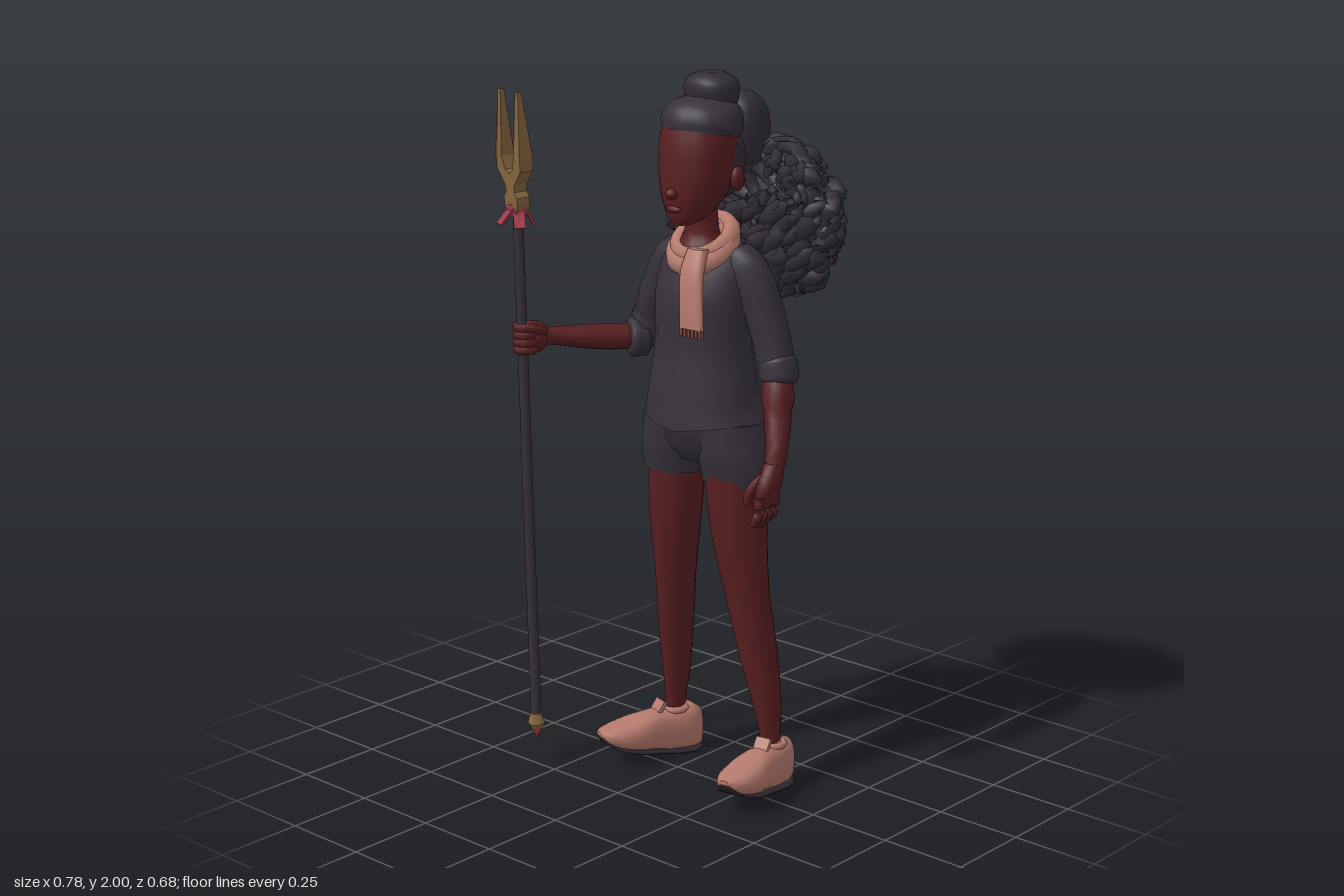
import * as THREE from 'three';
import { mergeGeometries } from 'three/addons/utils/BufferGeometryUtils.js';

const mat = (name, color) => Object.assign(new THREE.MeshStandardMaterial({ color }), { name });
const M = {
  skin: mat('skin', 0x571e20), cloth: mat('charcoal cloth', 0x37303b), hair: mat('hair', 0x312b35),
  pink: mat('dusty pink', 0xb57a6d), fringe: mat('fringe', 0x80483f), gold: mat('old gold', 0x866640),
  red: mat('ribbon red', 0xa13a4a), shaft: mat('dark shaft', 0x383039), sole: mat('sole', 0x2b262d),
};
const UP = new THREE.Vector3(0, 1, 0);
const V = (x, y, z) => new THREE.Vector3(x, y, z);

// Smooth skin over elliptical sections [x, y, z, a, b].
// mode: 'flat' = horizontal rings (listed upward), 'z' = rings facing +z, 'path' = rings across the path.
function loft(secs, { mode = 'flat', n = 14, sub = 3, pow = 1 } = {}) {
  const pts = new THREE.CatmullRomCurve3(secs.map(s => V(s[0], s[1], s[2])));
  const rad = new THREE.CatmullRomCurve3(secs.map(s => V(s[3], s[4] ?? s[3], 0)));
  const N = (secs.length - 1) * sub, pos = [], idx = [], q = new THREE.Quaternion();
  if (mode === 'z') q.setFromUnitVectors(UP, V(0, 0, 1));
  const sp = v => Math.sign(v) * Math.abs(v) ** pow;
  const rings = [];
  for (let i = 0; i <= N; i++) {
    const c = pts.getPoint(i / N), r = rad.getPoint(i / N);
    if (mode === 'path') q.setFromUnitVectors(UP, pts.getTangent(i / N));
    const ring = [];
    for (let j = 0; j < n; j++) {
      const t = j / n * Math.PI * 2;
      ring.push(V(sp(Math.cos(t)) * r.x, 0, sp(Math.sin(t)) * r.y).applyQuaternion(q).add(c));
    }
    rings.push(ring);
    ring.forEach(p => pos.push(p.x, p.y, p.z));
  }
  for (let i = 0; i < N; i++) for (let j = 0; j < n; j++) {
    const k = (j + 1) % n, a = i * n + j, d = i * n + k;
    idx.push(a, a + n, d + n, a, d + n, d);
  }
  // End caps with their own vertices keep the rims crisp
  [0, N].forEach(e => {
    const base = pos.length / 3, c = pts.getPoint(e / N);
    pos.push(c.x, c.y, c.z);
    rings[e].forEach(p => pos.push(p.x, p.y, p.z));
    for (let j = 0; j < n; j++) {
      const a = base + 1 + j, b = base + 1 + (j + 1) % n;
      e ? idx.push(base, b, a) : idx.push(base, a, b);
    }
  });
  const g = new THREE.BufferGeometry();
  g.setAttribute('position', new THREE.Float32BufferAttribute(pos, 3));
  g.setIndex(idx);
  g.computeVertexNormals();
  return g;
}

export function createModel() {
  const root = new THREE.Group();
  const add = (name, geo, m, parent = root) => {
    const mesh = new THREE.Mesh(geo, m);
    mesh.name = name;
    parent.add(mesh);
    return mesh;
  };
  const ball = (name, m, x, y, z, a, b, c) =>
    add(name, new THREE.SphereGeometry(1, 14, 10).scale(a, b, c).translate(x, y, z), m);

  // Head and face
  add('neck', loft([[.072, 1.47, -.02, .085, .08], [.072, 1.53, -.02, .078, .066], [.07, 1.575, -.02, .05, .046],
    [.07, 1.68, -.01, .045]]), M.skin);
  add('head', loft([[.07, 1.603, .055, .024, .032], [.07, 1.625, .035, .054, .06], [.07, 1.68, .012, .085, .09],
    [.07, 1.74, .002, .102, .099], [.07, 1.81, -.005, .107, .1], [.07, 1.88, -.015, .1, .093]], { n: 18, pow: .92 }), M.skin);
  ball('nose', M.skin, .07, 1.69, .1, .019, .016, .02);
  ball('lips', M.skin, .07, 1.648, .092, .028, .011, .014);
  for (const s of [-1, 1]) ball('ear', M.skin, .07 + s * .108, 1.725, -.04, .016, .034, .022);

  // Wrapped hair: band, top knot and back knot
  ball('backHair', M.hair, .07, 1.77, -.055, .106, .12, .082);
  const band = add('headband', loft([[0, -.025, 0, .11, .104], [0, 0, 0, .115, .107], [0, .03, -.003, .109, .101],
    [0, .055, -.012, .09, .083], [0, .07, -.02, .06, .055]], { n: 18 }), M.cloth);
  band.position.set(.07, 1.866, -.02);
  band.rotation.x = -.18;
  add('topKnot', loft([[.072, 1.9, -.055, .07, .062], [.072, 1.93, -.055, .077, .068], [.072, 1.965, -.055, .081, .07],
    [.072, 1.988, -.055, .066, .056], [.072, 2, -.055, .035, .03]], { n: 11, sub: 2 }), M.hair);
  add('backKnot', loft([[.075, 1.7, -.17, .06, .055], [.075, 1.78, -.17, .08, .072], [.075, 1.86, -.168, .084, .073],
    [.075, 1.915, -.165, .068, .058], [.075, 1.938, -.163, .035, .03]], { n: 12, sub: 2, pow: .85 }), M.hair);

  // Large curly mass, fuller below: a core with waving locks over it
  let seed = 11;
  const rnd = () => (seed = (seed * 16807) % 2147483647) / 2147483647;
  const sq = (v, p) => Math.sign(v) * Math.abs(v) ** p;
  const shell = (phi, th, k) => V(.085 + .272 * k * sq(Math.sin(th), th > 1.57 ? .6 : .9) * sq(Math.cos(phi), .75),
    1.6 + .207 * k * Math.cos(th), -.222 + .087 * k * sq(Math.sin(th), .65) * sq(Math.sin(phi), .7));
  ball('curlCore', M.hair, .085, 1.6, -.222, .25, .195, .085);
  const locks = [];
  for (let i = 0; i < 120; i++) {
    const phi = rnd() * Math.PI * 2, t0 = .1 + rnd() * 1.5, len = .9 + rnd() * 1.1, w = rnd() * 6;
    const r = .012 + rnd() * .022, flick = .98 + rnd() * .13, wave = .08 + rnd() * .12, secs = [];
    for (let k = 0; k <= 8; k++) {
      const p = shell(phi + wave * Math.sin(w + k * 1.6), Math.min(t0 + len * k / 8, 2.9),
        k === 8 ? flick : .965 + .07 * Math.cos(w + k * 1.6));
      secs.push([p.x, p.y, p.z, k === 8 ? .004 : r * (.8 + .2 * Math.sin(k * 1.9 + w))]);
    }
    locks.push(loft(secs, { mode: 'path', n: 5, sub: 2 }));
  }
  add('curls', mergeGeometries(locks), M.hair);

  // Shirt, with the hem rising towards the sides
  const shirt = loft([[.065, 1.035, -.037, .184, .137], [.065, 1.15, -.035, .166, .126], [.065, 1.27, -.035, .147, .115],
    [.068, 1.4, -.035, .15, .112], [.07, 1.48, -.045, .147, .097], [.07, 1.53, -.05, .12, .077],
    [.07, 1.56, -.045, .07, .045]], { n: 20 });
  const sv = shirt.attributes.position;
  for (let i = 0; i < sv.count; i++)
    if (sv.getY(i) < 1.06) sv.setY(i, sv.getY(i) + .16 * Math.abs(sv.getX(i) - .065));
  shirt.computeVertexNormals();
  add('shirt', shirt, M.cloth);

  // Shorts
  add('shortsSeat', loft([[.065, .935, -.062, .15, .08], [.065, .97, -.062, .19, .106], [.065, 1.03, -.06, .2, .129],
    [.065, 1.1, -.055, .178, .13], [.065, 1.17, -.045, .15, .108]], { n: 20 }), M.cloth);
  add('rightShortsLeg', loft([[-.047, .888, -.058, .1, .098], [-.046, .915, -.058, .103, .103],
    [-.04, .97, -.058, .106, .115], [-.025, 1.06, -.058, .105, .118]]), M.cloth);
  add('leftShortsLeg', loft([[.176, .888, -.058, .106, .098], [.175, .915, -.058, .109, .103],
    [.17, .97, -.058, .109, .115], [.155, 1.06, -.058, .105, .118]]), M.cloth);

  // Legs
  add('rightLeg', loft([[-.085, .09, -.085, .027, .034], [-.085, .15, -.085, .025, .032], [-.08, .25, -.085, .034, .045],
    [-.073, .4, -.075, .045, .058], [-.058, .57, -.057, .056, .062], [-.047, .75, -.045, .073, .077],
    [-.04, .95, -.045, .085, .085]]), M.skin);
  add('leftLeg', loft([[.289, .09, -.07, .027, .034], [.287, .15, -.07, .026, .033], [.273, .25, -.07, .037, .046],
    [.242, .4, -.065, .051, .06], [.214, .57, -.05, .063, .064], [.19, .75, -.042, .08, .08],
    [.175, .95, -.042, .095, .087]]), M.skin);

  // Shoes with raised toes: [z, bottom, top, half width]
  const last = [[-.078, .008, .125, .026], [-.045, .005, .145, .043], [.02, .012, .14, .046], [.075, .024, .143, .05],
    [.14, .038, .132, .061], [.2, .056, .122, .053], [.238, .078, .116, .034], [.255, .1, .112, .012]];
  for (const [side, x, z, yaw] of [['right', -.085, -.085, -.3], ['left', .3, -.065, .15]]) {
    const shoe = new THREE.Group();
    shoe.name = side + 'Shoe';
    shoe.position.set(x, 0, z);
    shoe.rotation.y = yaw;
    root.add(shoe);
    add('upper', loft(last.map(([d, b, t, w]) => [0, (b + t) / 2 + .003, d, w, (t - b) / 2]),
      { mode: 'z', pow: .75 }), M.pink, shoe);
    add('sole', loft(last.map(([d, b, , w]) => [0, b + .002, d - .002, w * .93, .005]),
      { mode: 'z', pow: .45 }), M.sole, shoe);
    add('tongue', new THREE.BoxGeometry(.045, .045, .012).rotateX(-.6).translate(0, .15, .058), M.pink, shoe);
    add('collar', new THREE.TorusGeometry(.032, .01, 6, 14).rotateX(Math.PI / 2).translate(0, .14, .002), M.pink, shoe);
  }

  // Sleeves, cuffs and forearms
  const limb = (name, secs, m) => add(name, loft(secs, { mode: 'path', n: 12 }), m);
  limb('rightSleeve', [[-.02, 1.52, -.055, .045], [-.06, 1.475, -.055, .06], [-.105, 1.4, -.055, .058],
    [-.15, 1.29, -.05, .055], [-.168, 1.245, -.03, .05], [-.178, 1.24, -.012, .05]], M.cloth);
  limb('rightCuff', [[-.158, 1.243, -.045, .05], [-.163, 1.243, -.036, .059], [-.179, 1.243, -.006, .058],
    [-.184, 1.243, .002, .046]], M.cloth);
  limb('rightForearm', [[-.165, 1.243, -.035, .036], [-.21, 1.245, .035, .037], [-.26, 1.252, .115, .033],
    [-.3, 1.26, .185, .026], [-.313, 1.262, .21, .027]], M.skin);
  limb('leftSleeve', [[.16, 1.52, -.055, .045], [.197, 1.475, -.06, .06], [.235, 1.4, -.07, .057],
    [.272, 1.28, -.08, .053], [.3, 1.19, -.075, .048]], M.cloth);
  limb('leftCuff', [[.287, 1.245, -.08, .048], [.291, 1.232, -.079, .055], [.302, 1.19, -.074, .053],
    [.304, 1.178, -.072, .043]], M.cloth);
  limb('leftForearm', [[.295, 1.21, -.075, .038], [.322, 1.11, -.045, .038], [.35, 1.02, -.008, .031],
    [.357, .97, .01, .028]], M.skin);

  // Relaxed left hand
  add('leftPalm', loft([[.354, .875, .042, .024, .042], [.358, .93, .03, .027, .046],
    [.357, .985, .008, .026, .03]], { n: 10 }), M.skin);
  for (let i = 0; i < 4; i++) {
    const z = .074 - i * .021;
    limb('leftFinger', [[.358, .9, z, .0155], [.36, .855, z + .004, .0145],
      [.342, .815 + Math.abs(i - 1) * .006, z + .002, .011]], M.skin);
  }
  limb('leftThumb', [[.345, .945, .04, .016], [.318, .91, .062, .014], [.31, .87, .068, .01]], M.skin);

  // Right fist round the shaft
  ball('rightPalm', M.skin, -.32, 1.262, .225, .034, .044, .034);
  for (let i = 0; i < 4; i++)
    add('rightFinger', new THREE.TorusGeometry(.024, .0135, 7, 14).rotateX(Math.PI / 2)
      .translate(-.333, 1.23 + i * .021, .256), M.skin);
  limb('rightThumb', [[-.3, 1.275, .22, .014], [-.298, 1.29, .25, .012], [-.32, 1.295, .282, .008]], M.skin);

  // Scarf, hanging low at the front
  for (const [r, t, y, z, tilt] of [[.081, .027, 1.53, -.02, .6], [.077, .024, 1.553, -.028, .56]])
    add('scarfLoop', new THREE.TorusGeometry(r, t, 8, 22).scale(1, 1, 1.2).rotateX(Math.PI / 2 + tilt)
      .translate(.075, y, z), M.pink);
  add('scarfTail', loft([[.133, 1.33, .092, .041, .01], [.13, 1.4, .09, .039, .011], [.12, 1.48, .076, .037, .015],
    [.115, 1.54, .045, .03, .018]], { n: 12, pow: .6 }), M.pink);
  for (let i = 0; i < 6; i++)
    add('scarfFringe', new THREE.BoxGeometry(.009, .03, .012).translate(.099 + i * .0135, 1.322, .092), M.fringe);

  // Two-pronged spear
  const spear = new THREE.Group();
  spear.name = 'spear';
  spear.position.set(-.33, 0, .237);
  spear.rotation.x = .027;
  root.add(spear);
  add('shaft', new THREE.CylinderGeometry(.014, .015, 1.52, 8).translate(0, .87, 0), M.shaft, spear);
  add('footCap', new THREE.CylinderGeometry(.016, .026, .03, 6).translate(0, .137, 0), M.gold, spear);
  add('footTaper', new THREE.CylinderGeometry(.026, .018, .014, 6).translate(0, .115, 0), M.gold, spear);
  add('footTip', new THREE.CylinderGeometry(.018, .001, .033, 6).translate(0, .0915, 0), M.red, spear);
  const half = [[.018, 1.61], [.03, 1.64], [.03, 1.66], [.018, 1.675], [.022, 1.695], [.054, 1.735], [.056, 1.77],
    [.046, 1.95], [.034, 1.95], [.028, 1.77], [.016, 1.735]];
  const outline = [...half, [0, 1.725], ...half.map(([x, y]) => [-x, y]).reverse()];
  const fork = new THREE.ExtrudeGeometry(new THREE.Shape(outline.map(p => new THREE.Vector2(...p))),
    { depth: 1, bevelEnabled: false }).translate(0, 0, -.5);
  const fp = fork.attributes.position;
  for (let i = 0; i < fp.count; i++) {
    const y = fp.getY(i);
    fp.setZ(i, fp.getZ(i) * (y > 1.76 ? .046 - (y - 1.76) * .18 : .042) + (y - 1.62) * .04);
  }
  fork.computeVertexNormals();
  add('fork', fork.rotateY(-.16), M.gold, spear);

  // Ribbon knot and tails
  add('ribbonKnot', new THREE.CylinderGeometry(.027, .03, .03, 8).translate(0, 1.625, 0), M.red, spear);
  for (const [turn, lift] of [[-.35, .75], [.9, .5], [2.6, .5], [3.9, .75], [5.1, .55]])
    add('ribbonTail', new THREE.BoxGeometry(.032, .064, .006).translate(0, -.03, 0).rotateX(-lift)
      .translate(0, 0, .014).rotateY(turn).translate(0, 1.634, 0), M.red, spear);
  return root;
}
